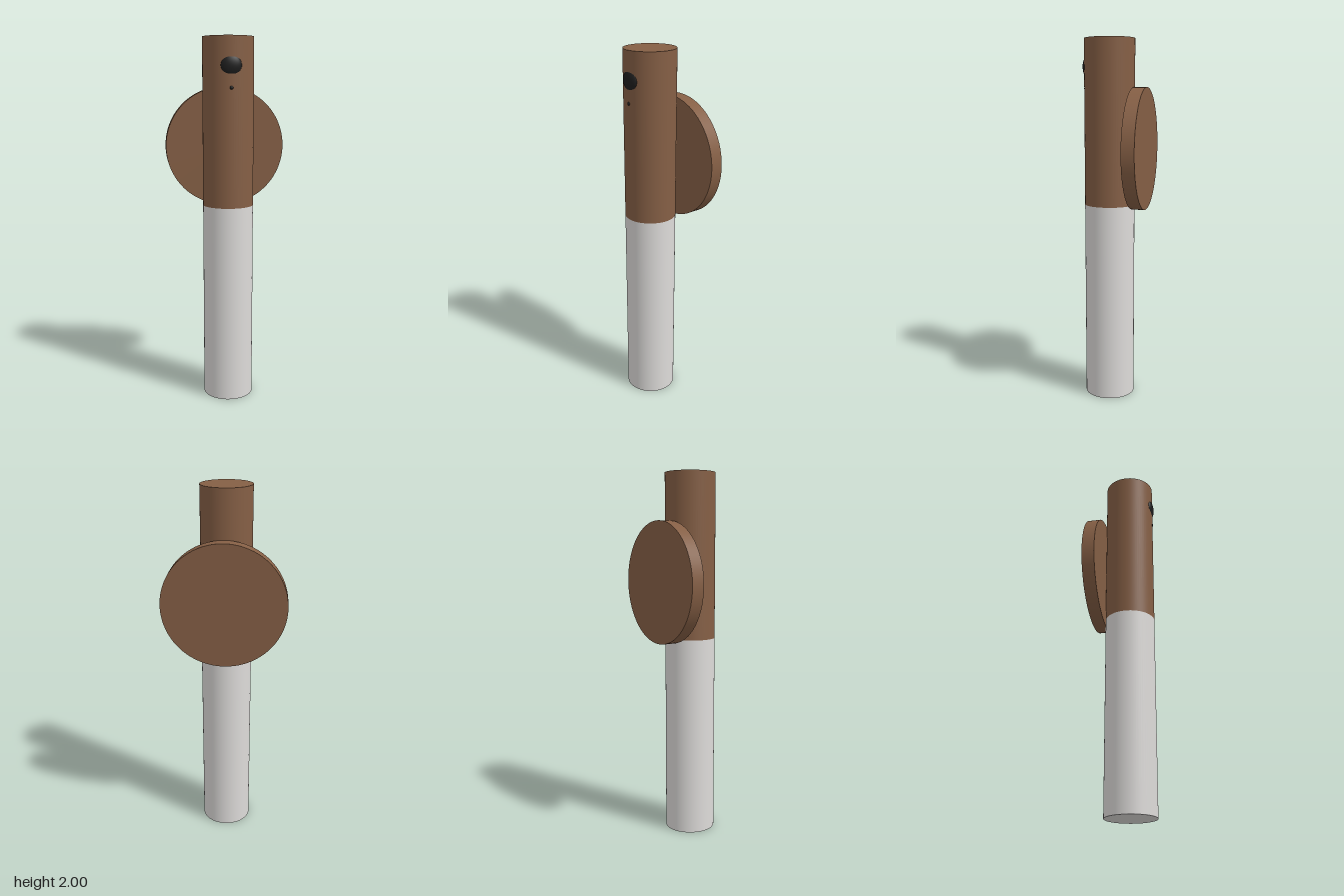
import * as THREE from 'three';

const wood = new THREE.MeshStandardMaterial({ color: 0x855f45 });
wood.name = 'brown wood';
const plastic = new THREE.MeshStandardMaterial({ color: 0xdddbd9 });
plastic.name = 'white plastic';
const dark = new THREE.MeshStandardMaterial({ color: 0x1e1e1e });
dark.name = 'black lens';

const BODY_R = 0.138, BODY_Z = 0.029;

export function createModel() {
  const model = new THREE.Group();
  model.name = 'nightLight';

  function add(name, geometry, material, x, y, z) {
    const mesh = new THREE.Mesh(geometry, material);
    mesh.name = name;
    mesh.position.set(x, y, z);
    model.add(mesh);
    return mesh;
  }

  // Upright stick: white diffuser below, wooden handle above
  const stick = (y0, y1) => new THREE.CylinderGeometry(BODY_R, BODY_R, y1 - y0, 64);
  add('diffuser', stick(0, 1.1), plastic, 0, 0.55, BODY_Z);
  add('handle', stick(1.1, 2), wood, 0, 1.55, BODY_Z);

  // Round wall mount touching the back of the handle
  const mount = new THREE.CylinderGeometry(0.332, 0.332, 0.07, 80);
  mount.rotateX(Math.PI / 2);
  add('wallMount', mount, wood, 0, 1.41, -0.144);

  // Flattened motion sensor dome and small light sensor dot
  const dome = new THREE.SphereGeometry(0.056, 32, 24);
  dome.scale(1, 1, 0.44);
  add('motionSensor', dome, dark, 0, 1.85, 0.1515);
  add('lightSensor', new THREE.SphereGeometry(0.01, 16, 12), dark, 0, 1.736, 0.163);

  return model;
}
